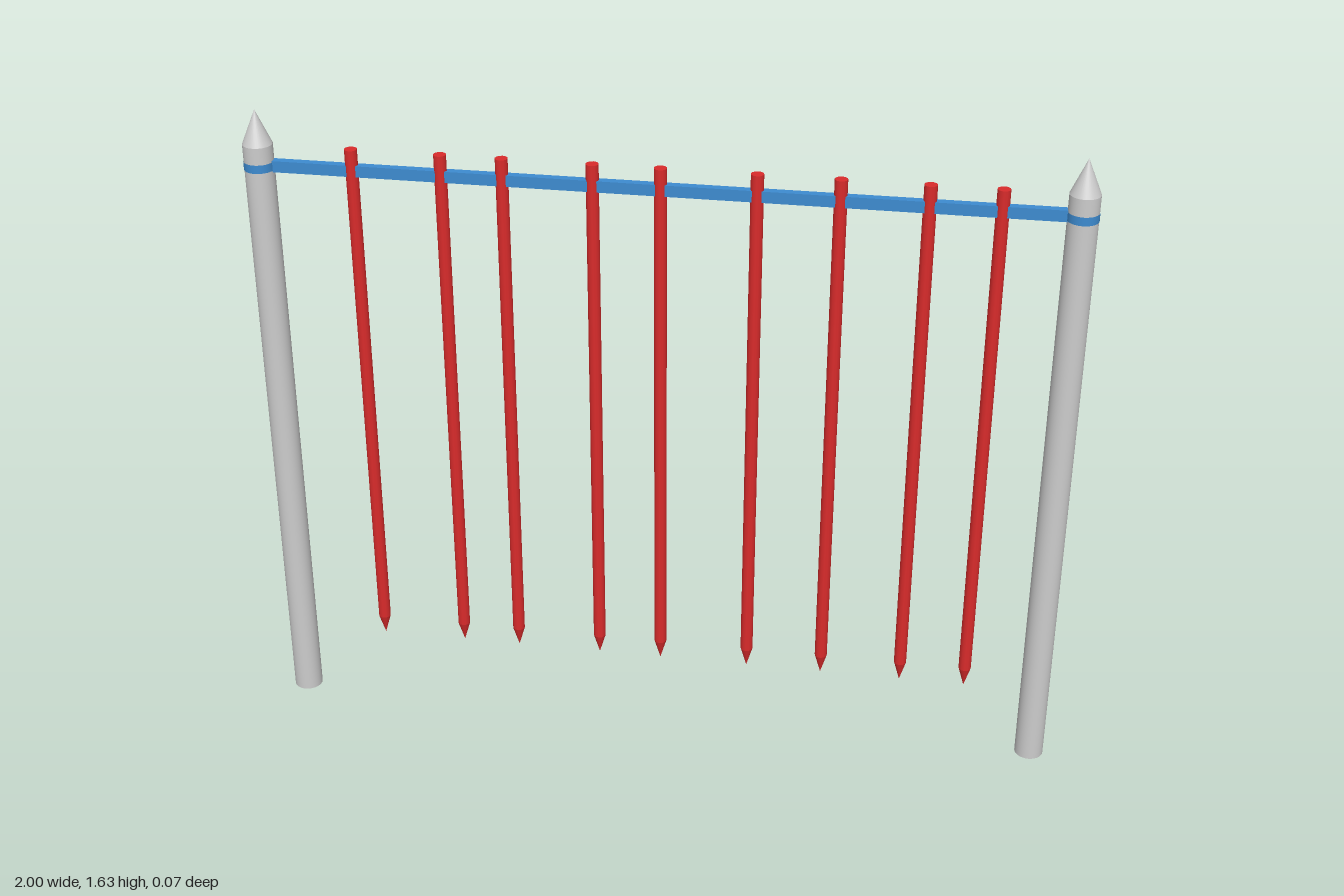
import * as THREE from 'three';

export function createModel() {
  const model = new THREE.Group();
  const grey = new THREE.MeshStandardMaterial({ color: 0xcccccc });
  grey.name = 'post grey';
  const blue = new THREE.MeshStandardMaterial({ color: 0x3d8bd0 });
  blue.name = 'rail blue';
  const red = new THREE.MeshStandardMaterial({ color: 0xd92b2b });
  red.name = 'stick red';

  const add = (parent, name, geometry, material, y) => {
    const mesh = new THREE.Mesh(geometry, material);
    mesh.name = name;
    mesh.position.y = y;
    parent.add(mesh);
    return mesh;
  };
  // Cylinder standing between two heights
  const tube = (parent, name, r, y0, y1, sides, material, open = false) =>
    add(parent, name, new THREE.CylinderGeometry(r, r, y1 - y0, sides, 1, open), material, (y0 + y1) / 2);

  // Two round posts with a painted band and a pointed cap
  const R = 0.036;
  for (const side of [-1, 1]) {
    const post = new THREE.Group();
    post.name = side > 0 ? 'leftPost' : 'rightPost';
    post.position.x = side * 0.964;
    tube(post, 'shaft', R, 0, 1.55, 32, grey);
    tube(post, 'band', R + 0.001, 1.487, 1.508, 32, blue, true);
    add(post, 'point', new THREE.ConeGeometry(R, 0.085, 32, 1, true), grey, 1.5925);
    model.add(post);
  }

  // Rail between the posts
  add(model, 'rail', new THREE.BoxGeometry(1.87, 0.028, 0.02), blue, 1.497);

  // Unevenly spaced hanging sticks, pointed at the bottom
  const r = 0.0155;
  const positions = [-0.737, -0.522, -0.375, -0.16, 0, 0.225, 0.417, 0.62, 0.784];
  positions.forEach((x) => {
    const stick = new THREE.Group();
    stick.name = 'stick';
    stick.position.x = x;
    tube(stick, 'stickShaft', r, 0.24, 1.55, 12, red);
    const tip = add(stick, 'stickTip', new THREE.ConeGeometry(r, 0.052, 12, 1, true), red, 0.214);
    tip.rotation.x = Math.PI;
    model.add(stick);
  });

  return model;
}
